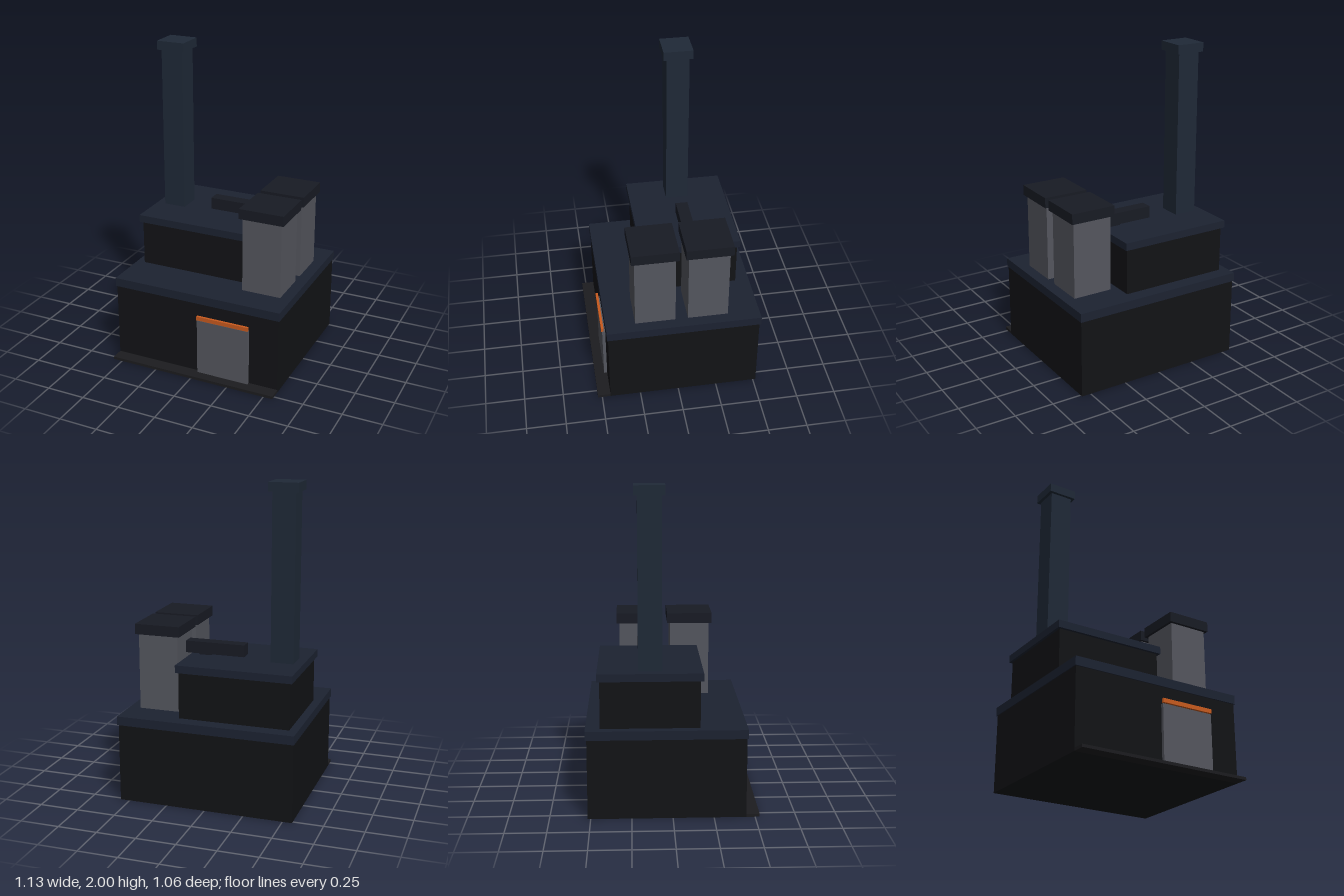
import * as THREE from 'three';

const paint = (color) => new THREE.MeshStandardMaterial({ color });

// Box given by its extents along each axis
function block(parent, name, material, [x0, x1], [y0, y1], [z0, z1]) {
  const mesh = new THREE.Mesh(new THREE.BoxGeometry(x1 - x0, y1 - y0, z1 - z0), material);
  mesh.position.set((x0 + x1) / 2, (y0 + y1) / 2, (z0 + z1) / 2);
  mesh.name = name;
  parent.add(mesh);
  return mesh;
}

// Extent from a centre and a width
const span = (centre, width) => [centre - width / 2, centre + width / 2];

export function createModel() {
  const model = new THREE.Group();
  model.name = 'factory';

  const wall = paint(0x121316);
  const roof = paint(0x1c2231);
  const stack = paint(0x1f2937);
  const cap = paint(0x181b24);
  const metal = paint(0x54565e);
  const paving = paint(0x1c1c1f);
  const orange = paint(0xc85a1e);

  // Ground floor with its overhanging roof and the paving in front
  block(model, 'lowerWalls', wall, [-0.56, 0.56], [0, 0.5], [-0.518, 0.446]);
  block(model, 'lowerRoof', roof, [-0.566, 0.566], [0.5, 0.556], [-0.528, 0.453]);
  block(model, 'frontPaving', paving, [-0.56, 0.56], [0, 0.018], [0.446, 0.528]);

  // Loading door and the bright strip above it
  block(model, 'loadingDoor', metal, [0.018, 0.366], [0.018, 0.389], [0.44, 0.466]);
  block(model, 'doorStrip', orange, [0.018, 0.366], [0.394, 0.42], [0.456, 0.472]);

  // Upper storey
  block(model, 'upperWalls', wall, [-0.513, 0.19], [0.556, 0.85], [-0.438, 0.167]);
  block(model, 'upperRoof', roof, [-0.53, 0.206], [0.85, 0.898], [-0.454, 0.185]);

  // Chimney
  const chimney = new THREE.Group();
  chimney.name = 'chimney';
  model.add(chimney);
  block(chimney, 'chimneyShaft', stack, span(-0.4, 0.145), [0.898, 1.943], span(-0.134, 0.145));
  block(chimney, 'chimneyCap', stack, span(-0.4, 0.185), [1.943, 2], span(-0.134, 0.185));

  // Two square silos on the left side
  for (const [name, z] of [['frontSilo', 0.138], ['rearSilo', -0.197]]) {
    const silo = new THREE.Group();
    silo.name = name;
    model.add(silo);
    block(silo, 'siloBody', metal, span(0.366, 0.256), [0.556, 1.043], span(z, 0.256));
    block(silo, 'siloCap', cap, span(0.366, 0.292), [1.043, 1.109], span(z, 0.294));
  }

  // Duct from the rear silo over the upper roof, on a small support
  block(model, 'duct', cap, [-0.147, 0.366], [0.905, 0.981], span(-0.134, 0.077));
  block(model, 'ductSupport', cap, span(0.11, 0.077), [0.88, 0.92], span(-0.134, 0.07));

  return model;
}
